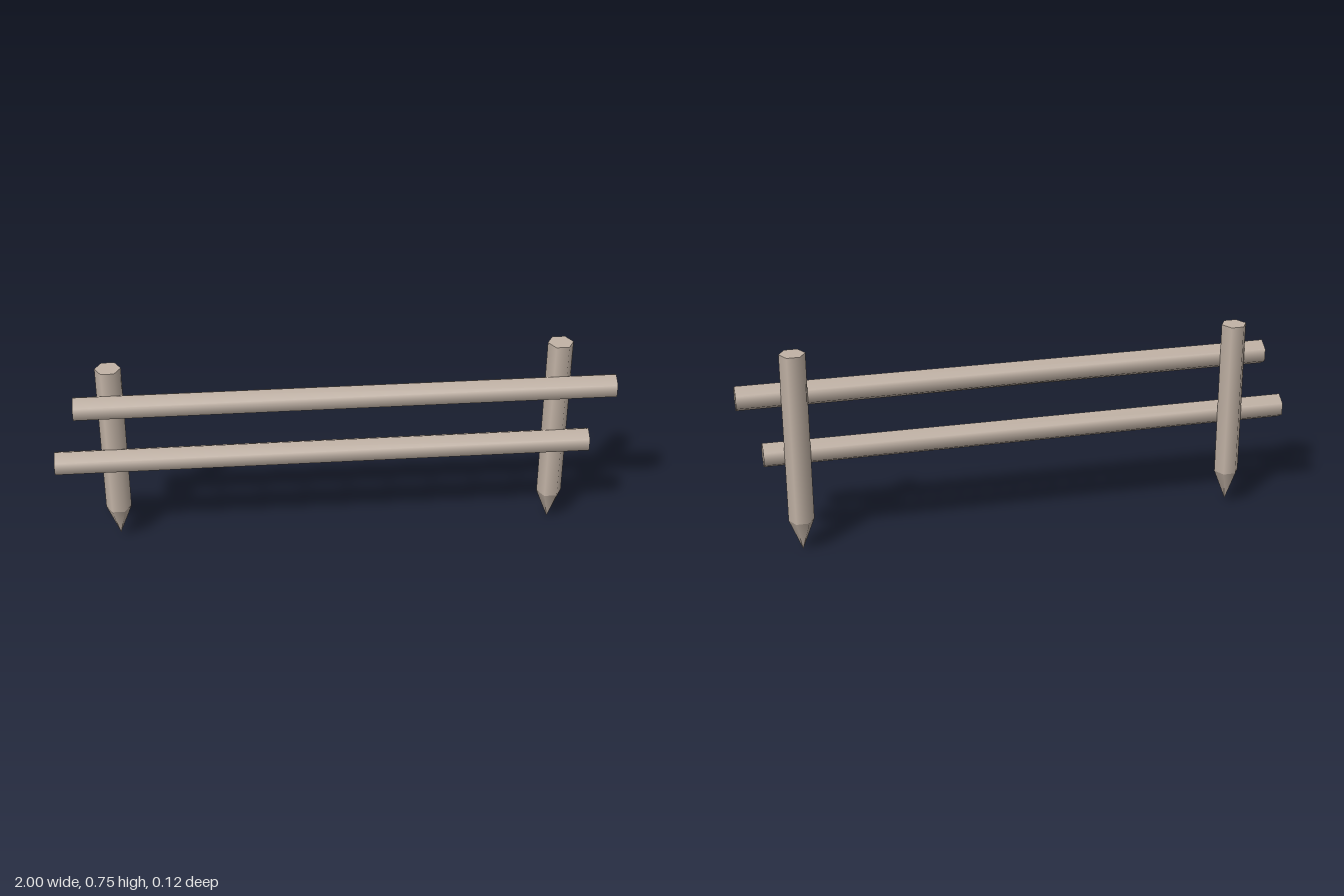
import * as THREE from 'three';

const RADIUS = 0.046;
const SIDES = 6;

// Six-sided log along y with a corner pointing to +x
function log(rTop, rBottom, length, open) {
  return new THREE.CylinderGeometry(rTop, rBottom, length, SIDES, 1, open, Math.PI / 2);
}

export function createModel() {
  const model = new THREE.Group();
  model.name = 'fence';
  const wood = new THREE.MeshStandardMaterial({ color: 0xc2b3a6 });
  wood.name = 'pale wood';

  const add = (parent, name, geometry, x, y, z) => {
    const mesh = new THREE.Mesh(geometry, wood);
    mesh.name = name;
    mesh.position.set(x, y, z);
    parent.add(mesh);
  };

  // Posts with sharpened feet; the right one is driven in less deeply
  const posts = [
    { name: 'leftPost', x: 0.8, base: 0 },
    { name: 'rightPost', x: -0.79, base: 0.02 },
  ];
  const tip = 0.118;
  for (const { name, x, base } of posts) {
    const top = base === 0 ? 0.75 : 0.72;
    const shaft = top - base - tip;
    const post = new THREE.Group();
    post.name = name;
    post.position.set(x, base, -0.02);
    add(post, 'shaft', log(RADIUS, RADIUS, shaft, false), 0, tip + shaft / 2, 0);
    add(post, 'point', log(RADIUS, 0, tip, true), 0, tip / 2, 0);
    model.add(post);
  }

  // Two rails, offset sideways from each other
  const rails = [
    { name: 'upperRail', from: -0.918, to: 1, y: 0.586 },
    { name: 'lowerRail', from: -1, to: 0.918, y: 0.363 },
  ];
  for (const { name, from, to, y } of rails) {
    const geometry = log(RADIUS, RADIUS, to - from, false).rotateZ(Math.PI / 2);
    add(model, name, geometry, (from + to) / 2, y, 0.021);
  }
  return model;
}
